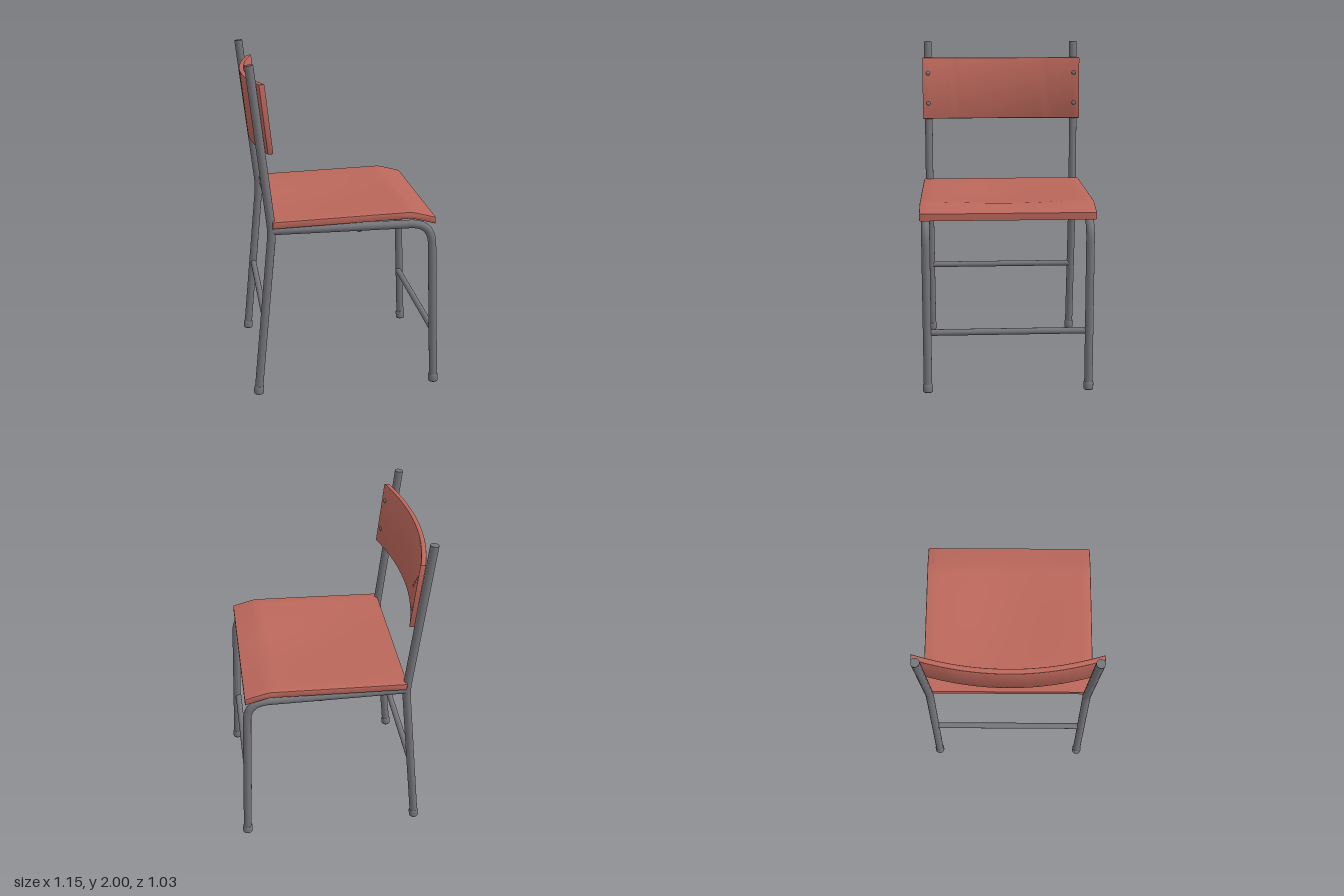
import * as THREE from 'three';
import { toCreasedNormals } from 'three/addons/utils/BufferGeometryUtils.js';

const steel = new THREE.MeshStandardMaterial({ color: 0x75757a });
steel.name = 'grey steel';
const red = new THREE.MeshStandardMaterial({ color: 0xbb675b });
red.name = 'red plywood';

const LEG_Z = 0.48, TUBE_R = 0.025, UP = new THREE.Vector3(0, 1, 0);
const v = (x, y, z = 0) => new THREE.Vector3(x, y, z);

function add(parent, name, geometry, material) {
  const mesh = new THREE.Mesh(geometry, material);
  mesh.name = name;
  parent.add(mesh);
  return mesh;
}

// Straight tube, bend around the corner point, straight tube
function bentTube(start, corner, end, bend) {
  const a = corner.clone().add(start.clone().sub(corner).setLength(bend));
  const b = corner.clone().add(end.clone().sub(corner).setLength(bend));
  const path = new THREE.CurvePath();
  path.add(new THREE.LineCurve3(start, a));
  path.add(new THREE.QuadraticBezierCurve3(a, corner, b));
  path.add(new THREE.LineCurve3(b, end));
  return new THREE.TubeGeometry(path, 80, TUBE_R, 16);
}

// Rubber-style ferrule at the foot of a leg, in line with the leg
function addFoot(parent, name, x, direction) {
  const profile = [[0, 0], [0.027, 0], [0.03, 0.004], [0.03, 0.04], [0.026, 0.05], [0, 0.05]];
  const geometry = new THREE.LatheGeometry(profile.map(p => new THREE.Vector2(...p)), 16);
  const foot = add(parent, name, toCreasedNormals(geometry, 0.6), steel);
  foot.position.set(x, 0.002, 0);
  foot.quaternion.setFromUnitVectors(UP, direction.clone().normalize());
}

function sideFrame(side) {
  const frame = new THREE.Group();
  frame.name = side > 0 ? 'leftSideFrame' : 'rightSideFrame';
  frame.position.z = side * LEG_Z;

  // Rear leg carries on up as the back post
  const rearFoot = v(-0.542, 0.01), knee = v(-0.442, 1.03), top = v(-0.55, 1.997);
  add(frame, 'rearLegAndPost', bentTube(rearFoot, knee, top, 0.06), steel);
  const cap = add(frame, 'postCap', new THREE.CircleGeometry(TUBE_R, 16), steel);
  cap.position.copy(top);
  cap.quaternion.setFromUnitVectors(v(0, 0, 1), top.clone().sub(knee).normalize());
  addFoot(frame, 'rearFoot', rearFoot.x, knee.clone().sub(rearFoot));

  // Front leg bends back to become the seat rail
  const frontFoot = v(0.543, 0.01), corner = v(0.504, 1.037);
  add(frame, 'frontLegAndRail', bentTube(frontFoot, corner, v(-0.442, 1.037), 0.13), steel);
  addFoot(frame, 'frontFoot', frontFoot.x, corner.clone().sub(frontFoot));
  return frame;
}

// Plywood seat: side profile extruded across, then dished in the middle
function seatGeometry() {
  const thick = 0.042, bevel = 0.007, width = 1.03;
  const top = [];
  for (let i = 0; i <= 10; i++) top.push([-0.44 + 0.077 * i, 1.098 + 0.0023 * i]);
  top.push([0.37, 1.122], [0.4, 1.116], [0.46, 1.1], [0.517, 1.084]);
  const bottom = top.map(([x, y]) => [x, y - thick]).reverse();
  const shape = new THREE.Shape([...top, ...bottom].map(p => new THREE.Vector2(...p)));
  const geometry = new THREE.ExtrudeGeometry(shape, {
    depth: width - 2 * bevel, steps: 20, bevelThickness: bevel,
    bevelSize: bevel, bevelOffset: -bevel, bevelSegments: 2,
  });
  geometry.translate(0, 0, bevel - width / 2);
  const p = geometry.attributes.position;
  for (let i = 0; i < p.count; i++) {
    const across = Math.cos(Math.PI * p.getZ(i) / width) ** 2;
    const along = Math.max(0, Math.sin(Math.PI * (p.getX(i) + 0.44) / 0.957));
    p.setY(i, p.getY(i) - 0.025 * across * along);
  }
  return toCreasedNormals(geometry, 0.45);
}

// Backrest: curved strip in plan, extruded upwards; front face at local x = 0.015
const backCurve = z => 0.077 * (z / 0.515) ** 2;
function backrestGeometry() {
  const bevel = 0.007, height = 0.4, front = [], rear = [];
  for (let i = 0; i <= 24; i++) {
    const z = -0.515 + 1.03 * i / 24, x = backCurve(z);
    front.push(new THREE.Vector2(x + 0.015, -z));
    rear.unshift(new THREE.Vector2(x - 0.015, -z));
  }
  const geometry = new THREE.ExtrudeGeometry(new THREE.Shape([...front, ...rear]), {
    depth: height - 2 * bevel, bevelThickness: bevel,
    bevelSize: bevel, bevelOffset: -bevel, bevelSegments: 2,
  });
  geometry.translate(0, 0, bevel - height / 2);
  geometry.rotateX(-Math.PI / 2);
  return toCreasedNormals(geometry, 0.45);
}

export function createModel() {
  const chair = new THREE.Group();
  chair.name = 'chair';
  for (const side of [1, -1]) chair.add(sideFrame(side));

  // Cross rungs between the side frames: name, x, y, radius
  for (const [name, x, y, r] of [
    ['frontRung', 0.52, 0.365, 0.019],
    ['rearRung', -0.492, 0.485, 0.019],
    ['seatCrossbar', 0.07, 1.02, 0.018],
  ]) {
    const rung = add(chair, name, new THREE.CylinderGeometry(r, r, 2 * LEG_Z, 16), steel);
    rung.rotation.x = Math.PI / 2;
    rung.position.set(x, y, 0);
  }

  add(chair, 'seat', seatGeometry(), red);

  // Backrest leans with the posts and carries its four screws
  const back = new THREE.Group();
  back.name = 'backrest';
  back.position.set(-0.54, 1.69, 0);
  back.rotation.z = 0.105;
  add(back, 'backrestPanel', backrestGeometry(), red);
  for (const z of [-LEG_Z, LEG_Z]) {
    for (const y of [-0.098, 0.098]) {
      const head = new THREE.SphereGeometry(0.014, 12, 5, 0, Math.PI * 2, 0, Math.PI / 2);
      const screw = add(back, 'screw', head, steel);
      screw.position.set(backCurve(z) + 0.014, y, z);
      const slope = 2 * backCurve(z) / z;
      screw.quaternion.setFromUnitVectors(UP, v(1, 0, -slope).normalize());
      screw.scale.y = 0.6;
    }
  }
  chair.add(back);
  return chair;
}
